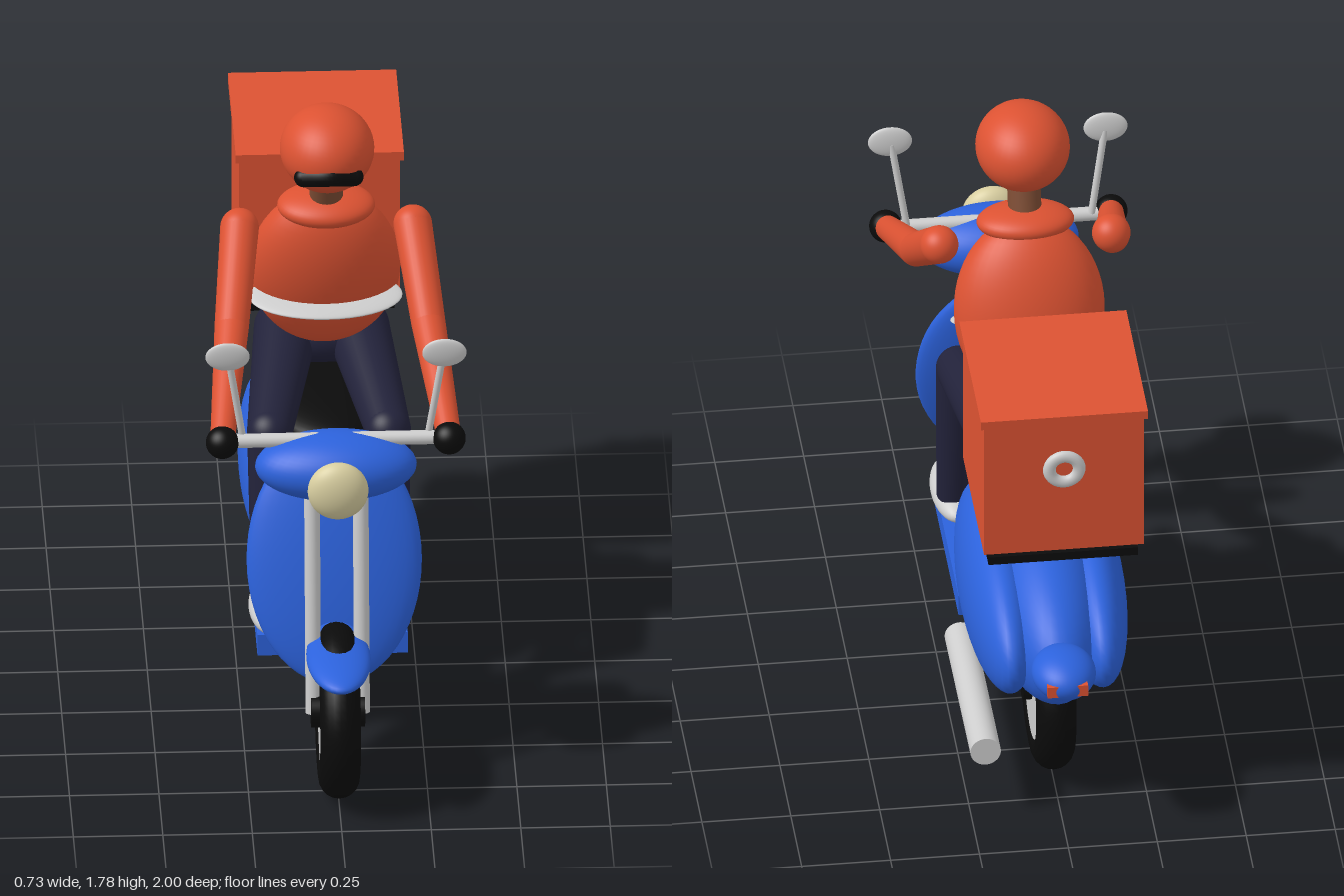
import * as THREE from 'three';

const mat = (name, color) => {
  const m = new THREE.MeshStandardMaterial({ color });
  m.name = name;
  return m;
};

export function createModel() {
  const root = new THREE.Group();
  root.name = 'deliveryScooterWithRider';
  const orange = mat('orange', 0xdc5232);
  const blue = mat('blue', 0x2c62dc);
  const navy = mat('navy', 0x22223a);
  const black = mat('black', 0x0b0b0b);
  const silver = mat('silver', 0xcdcdcd);
  const cream = mat('cream', 0xd8cea0);
  const brown = mat('brown', 0x7c4c34);

  const add = (name, geo, material, pos = [0, 0, 0], parent = root) => {
    const m = new THREE.Mesh(geo, material);
    m.name = name;
    m.position.set(...pos);
    parent.add(m);
    return m;
  };
  // Ellipsoid with radii r, tilted about x
  const blob = (name, material, pos, r, tilt = 0, parent = root) => {
    const m = add(name, new THREE.SphereGeometry(1, 40, 28), material, pos, parent);
    m.scale.set(...r);
    m.rotation.x = tilt;
    return m;
  };
  const box = (name, material, pos, size) => add(name, new THREE.BoxGeometry(...size), material, pos);
  // Tapered rod from a (radius ra) to b (radius rb)
  const rod = (name, material, a, b, ra, rb = ra, parent = root) => {
    const p = new THREE.Vector3(...a), q = new THREE.Vector3(...b);
    const d = q.clone().sub(p);
    const m = add(name, new THREE.CylinderGeometry(rb, ra, d.length(), 28), material,
      p.clone().add(q).multiplyScalar(0.5).toArray(), parent);
    m.quaternion.setFromUnitVectors(new THREE.Vector3(0, 1, 0), d.normalize());
    return m;
  };
  const ball = (name, material, pos, r, parent) => blob(name, material, pos, [r, r, r], 0, parent);

  // Wheels
  for (const [name, z] of [['frontWheel', 0.74], ['rearWheel', -0.535]]) {
    const wheel = new THREE.Group();
    wheel.name = name;
    wheel.position.set(0, 0.247, z);
    wheel.rotation.y = Math.PI / 2;
    root.add(wheel);
    add('tyre', new THREE.TorusGeometry(0.19, 0.057, 20, 56), black, [0, 0, 0], wheel);
    for (const [part, r, w, m] of [['rim', 0.16, 0.1, silver], ['hub', 0.047, 0.15, black]]) {
      add(part, new THREE.CylinderGeometry(r, r, w, 40).rotateX(Math.PI / 2), m, [0, 0, 0], wheel);
    }
  }

  // Scooter body
  blob('frontFender', blue, [0, 0.437, 0.79], [0.09, 0.038, 0.21]);
  blob('legShield', blue, [0, 0.605, 0.512], [0.245, 0.36, 0.06], -0.26);
  box('footBoard', blue, [0, 0.284, 0.11], [0.42, 0.064, 0.6]);
  blob('rearBody', blue, [0, 0.463, -0.365], [0.17, 0.228, 0.5]);
  blob('tail', blue, [0, 0.522, -0.89], [0.09, 0.065, 0.108]);
  blob('headset', blue, [0, 0.957, 0.62], [0.226, 0.096, 0.123]);
  blob('headlight', cream, [0, 0.947, 0.76], [0.085, 0.086, 0.048]);
  blob('seat', black, [0, 0.795, -0.21], [0.19, 0.06, 0.375]);
  rod('muffler', silver, [0.21, 0.205, -0.22], [0.21, 0.217, -0.815], 0.043);
  rod('handlebar', silver, [-0.32, 1.03, 0.605], [0.32, 1.03, 0.605], 0.02);

  // Delivery box and its rack
  box('rack', black, [0, 0.907, -0.66], [0.42, 0.025, 0.44]);
  box('deliveryBox', orange, [0, 1.159, -0.66], [0.45, 0.43, 0.48]);
  box('boxLid', orange, [0, 1.387, -0.66], [0.47, 0.026, 0.5]);
  add('boxLatchRing', new THREE.TorusGeometry(0.042, 0.018, 12, 36), silver, [0, 1.22, -0.905]).scale.z = 0.8;

  // Rider torso and head
  blob('torso', orange, [0, 1.213, -0.1], [0.212, 0.272, 0.128], 0.29);
  blob('chestStripe', silver, [0, 1.148, -0.04], [0.215, 0.016, 0.1], 0.28);
  blob('collar', orange, [0, 1.45, -0.007], [0.137, 0.046, 0.1], 0.12);
  rod('neck', brown, [0, 1.44, -0.01], [0, 1.58, 0.04], 0.047);
  blob('helmet', orange, [0, 1.66, 0.055], [0.132, 0.12, 0.15]);
  blob('pelvis', navy, [0, 0.915, -0.28], [0.18, 0.09, 0.11]);

  // Curved visor with rounded ends
  const visor = [[-0.07, 1.624, 0.163], [0, 1.637, 0.188], [0.07, 1.624, 0.163]];
  const visorCurve = new THREE.CatmullRomCurve3(visor.map(p => new THREE.Vector3(...p)));
  add('visor', new THREE.TubeGeometry(visorCurve, 20, 0.027, 16), black);
  ball('visorEnd', black, visor[0], 0.027);
  ball('visorEnd', black, visor[2], 0.027);

  // Paired parts
  for (const s of [-1, 1]) {
    const side = s > 0 ? 'left' : 'right';
    const group = new THREE.Group();
    group.name = side + 'SideParts';
    root.add(group);

    blob('sideCowl', blue, [s * 0.13, 0.463, -0.365], [0.1, 0.192, 0.452], 0, group);
    rod('fork', silver, [s * 0.068, 0.24, 0.737], [s * 0.068, 0.93, 0.64], 0.022, 0.022, group);
    add('tailLight', new THREE.BoxGeometry(0.03, 0.035, 0.02), orange, [s * 0.042, 0.522, -0.98], group);
    rod('mirrorStem', silver, [s * 0.26, 1.04, 0.595], [s * 0.3, 1.3, 0.622], 0.01, 0.01, group);
    blob('mirror', silver, [s * 0.303, 1.306, 0.627], [0.062, 0.045, 0.013], 0.1, group);

    // Arm
    const shoulder = [s * 0.242, 1.385, -0.005], elbow = [s * 0.275, 1.2, 0.245], hand = [s * 0.317, 1.03, 0.613];
    ball('shoulder', orange, shoulder, 0.054, group);
    rod('upperArm', orange, shoulder, elbow, 0.054, 0.048, group);
    ball('elbow', orange, elbow, 0.048, group);
    rod('forearm', orange, elbow, hand, 0.048, 0.034, group);
    ball('glove', black, hand, 0.046, group);

    // Leg
    const hip = [s * 0.1, 0.915, -0.29], knee = [s * 0.165, 0.835, 0.175], ankle = [s * 0.17, 0.37, 0.235];
    ball('hip', navy, hip, 0.09, group);
    rod('thigh', navy, hip, knee, 0.09, 0.064, group);
    ball('knee', navy, knee, 0.064, group);
    rod('shin', navy, knee, ankle, 0.064, 0.05, group);
    blob('shoe', silver, [s * 0.17, 0.345, 0.292], [0.06, 0.043, 0.152], 0, group);
  }
  return root;
}
